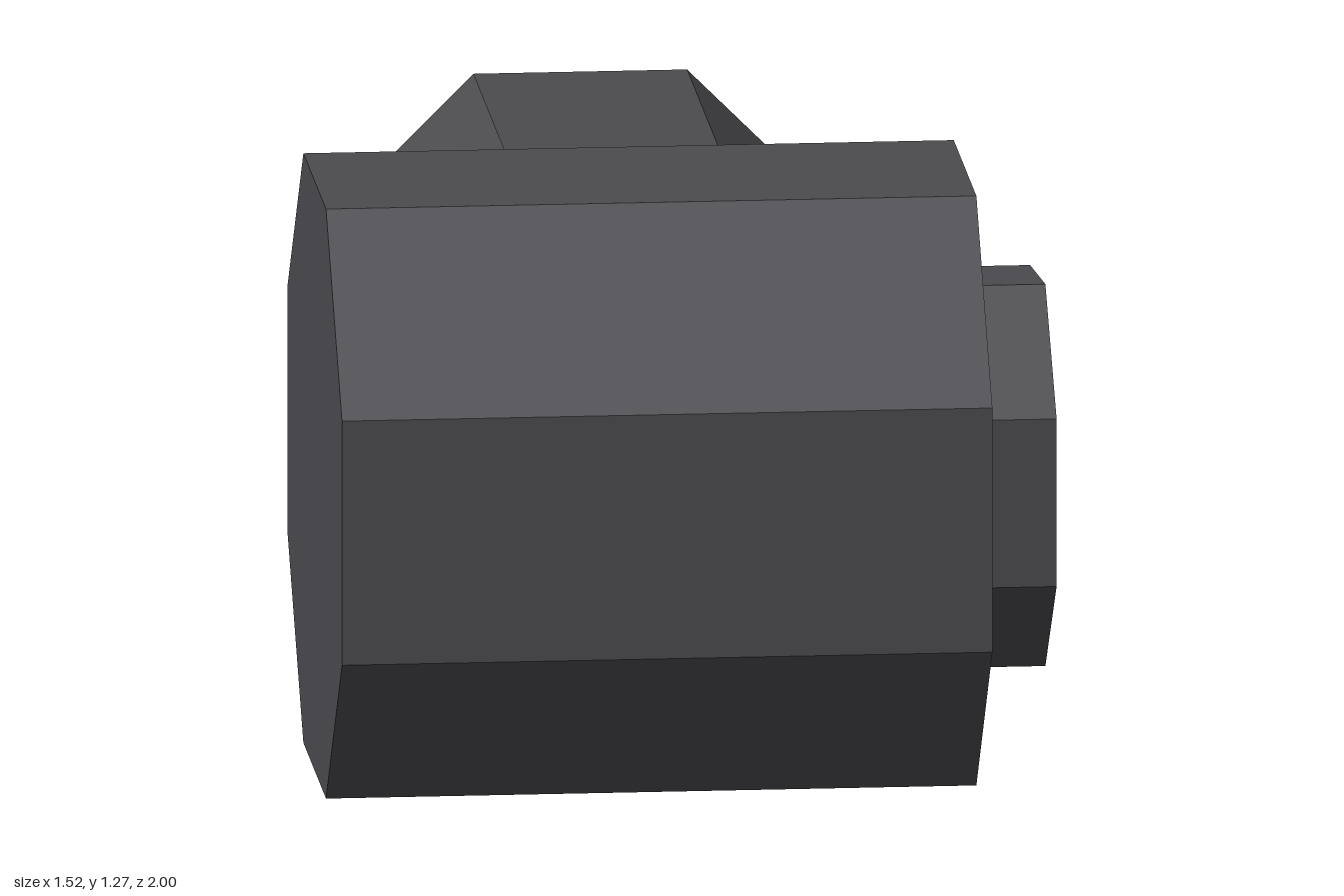
import * as THREE from 'three';

const CENTER_Y = 0.633;
const BODY_Z = 0.367;
const ARM_X = -0.08;
const SOCKET_DEPTH = 0.157;

// Regular octagon with flat top and sides
function octagon(apothem) {
  const r = apothem / Math.cos(Math.PI / 8);
  return Array.from({ length: 8 }, (_, i) => {
    const a = Math.PI / 8 + (i * Math.PI) / 4;
    return new THREE.Vector2(r * Math.cos(a), r * Math.sin(a));
  });
}

// Seven-sided key profile, with its slot at the top
function keyProfile() {
  const half = [[0.18, -0.39], [0.41, -0.13], [0.37, 0.225], [0.08, 0.42], [0.08, 0.34]];
  const mirrored = half.map(([x, y]) => [-x, y]).reverse();
  return [...half, ...mirrored].map(([x, y]) => new THREE.Vector2(x, y));
}

function prism(shape, depth) {
  return new THREE.ExtrudeGeometry(shape, { depth, bevelEnabled: false });
}

export function createModel() {
  const group = new THREE.Group();
  const darkGrey = new THREE.MeshStandardMaterial({ color: 0x4c4b4f });
  darkGrey.name = 'dark grey';

  const add = (name, geometry, x, y, z) => {
    const mesh = new THREE.Mesh(geometry, darkGrey);
    mesh.name = name;
    mesh.position.set(x, y, z);
    group.add(mesh);
  };

  // Main body, lying along x
  const body = prism(new THREE.Shape(octagon(0.633)), 1.367);
  add('body', body.rotateY(Math.PI / 2), -0.762, CENTER_Y, BODY_Z);

  // Keyed plug on the left end, slot facing the back
  const plug = prism(new THREE.Shape(keyProfile()), 0.157);
  add('plug', plug.rotateZ(-Math.PI / 2).rotateY(Math.PI / 2), 0.605, CENTER_Y, BODY_Z);

  // Arm to the back, with a keyed socket in its end
  const armShape = new THREE.Shape(octagon(0.542));
  armShape.holes.push(new THREE.Path(keyProfile()));
  add('arm', prism(armShape, 1.3), ARM_X, CENTER_Y, -1);

  // Socket floor, facing the back
  const floor = new THREE.ShapeGeometry(new THREE.Shape(keyProfile()));
  add('socketFloor', floor.rotateY(Math.PI), ARM_X, CENTER_Y, -1 + SOCKET_DEPTH);

  return group;
}
